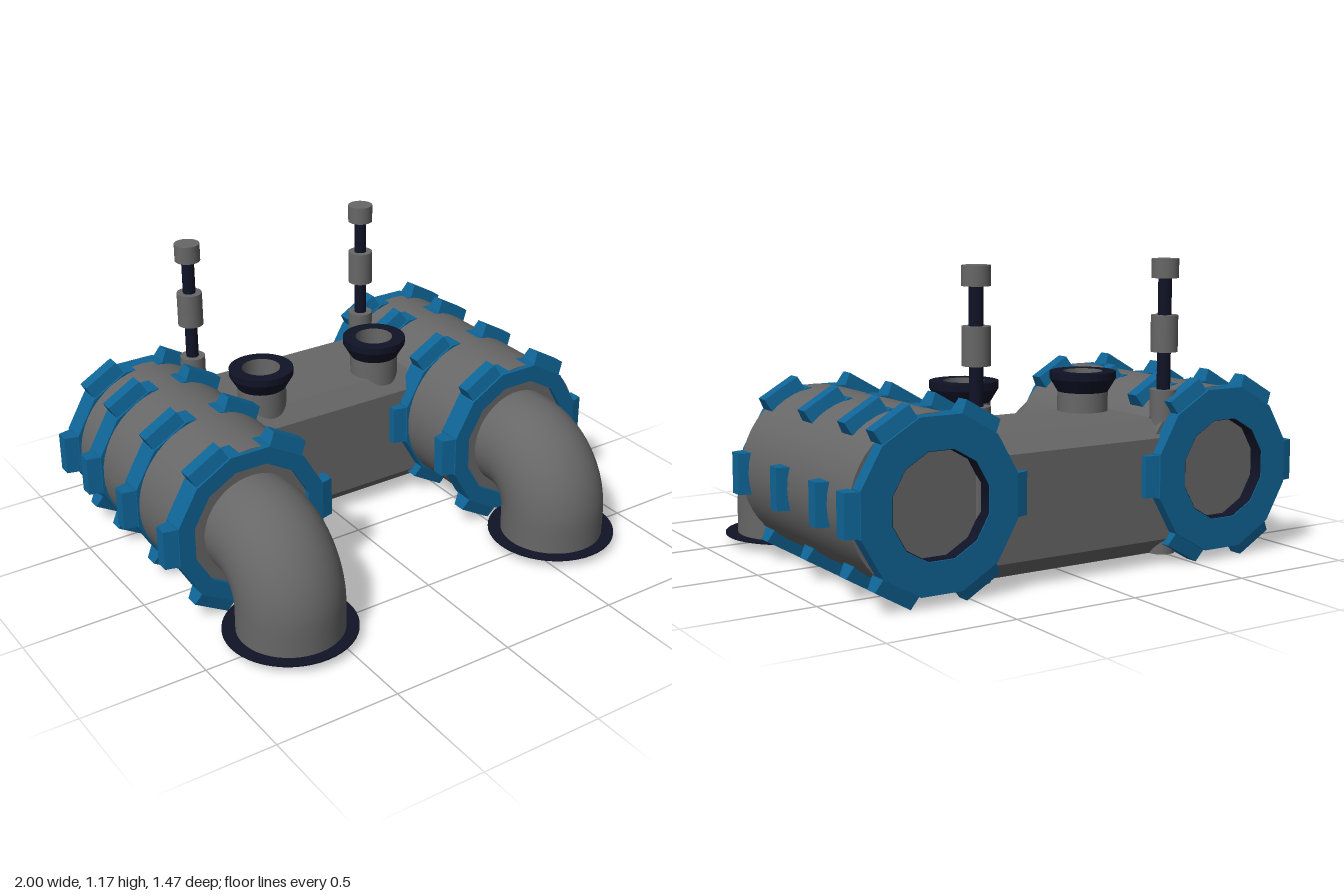
import * as THREE from 'three';

const mat = (color, flatShading = false) =>
  new THREE.MeshStandardMaterial({ color, flatShading, side: THREE.DoubleSide });
const grey = mat(0x676767), flatGrey = mat(0x676767, true);
const blue = mat(0x0f6496, true);
const dark = mat(0x101326), flatDark = mat(0x101326, true);

const TANK_Y = 0.36, TANK_X = 0.634;
const SHIFT = 0.011; // shell and pipe sit slightly off the band centre

function add(parent, name, geometry, material, x = 0, y = 0, z = 0) {
  const mesh = new THREE.Mesh(geometry, material);
  mesh.name = name;
  mesh.position.set(x, y, z);
  parent.add(mesh);
  return mesh;
}

// Upright cylinder between two heights
function post(parent, name, r, y0, y1, material, segments = 24) {
  return add(parent, name, new THREE.CylinderGeometry(r, r, y1 - y0, segments), material, 0, (y0 + y1) / 2, 0);
}

const lathe = (profile, segments) =>
  new THREE.LatheGeometry(profile.map(([x, y]) => new THREE.Vector2(x, y)), segments);

function polygon(Type, r, n, offset = 0) {
  const points = [];
  for (let i = 0; i < n; i++) {
    const a = offset + (i / n) * Math.PI * 2;
    points.push(new THREE.Vector2(r * Math.cos(a), r * Math.sin(a)));
  }
  return new Type(points);
}

// Twelve-sided band around the tank, centred on z = 0
function bandGeometry(hole, width) {
  const shape = polygon(THREE.Shape, 0.324, 12, Math.PI / 12);
  shape.holes.push(polygon(THREE.Path, hole, 12, Math.PI / 12));
  return new THREE.ExtrudeGeometry(shape, { depth: width, bevelEnabled: false }).translate(0, 0, -width / 2);
}

// Block pointing along +x whose outer face is narrower along z
function lugGeometry() {
  const geo = new THREE.BoxGeometry(0.086, 0.16, 0.096).translate(0.323, 0, 0);
  const p = geo.attributes.position;
  for (let i = 0; i < p.count; i++) if (p.getX(i) > 0.33) p.setZ(i, p.getZ(i) * 0.56);
  geo.computeVertexNormals();
  return geo;
}

function createTank() {
  const tank = new THREE.Group();
  tank.name = 'tank';
  const shell = new THREE.CylinderGeometry(0.317, 0.317, 0.89, 48).rotateX(Math.PI / 2);
  add(tank, 'tankShell', shell, grey, SHIFT, TANK_Y, -0.23);

  // Bands with six lugs each
  const lug = lugGeometry();
  for (const [z, hole] of [[0.187, 0.255], [-0.157, 0.29], [-0.475, 0.29], [-0.687, 0.2]]) {
    const band = new THREE.Group();
    band.name = 'lugBand';
    band.position.set(0, TANK_Y, z);
    add(band, 'band', bandGeometry(hole, 0.096), blue);
    for (let i = 0; i < 6; i++) add(band, 'lug', lug, blue).rotation.z = (i * Math.PI) / 3;
    tank.add(band);
  }
  // Dark lining of the rear opening
  const lining = new THREE.CylinderGeometry(0.198, 0.198, 0.058, 12, 1, true, Math.PI / 12).rotateX(Math.PI / 2);
  add(tank, 'rearLining', lining, dark, 0, TANK_Y, -0.705);

  // Elbow pipe bending tightly down to the floor
  const path = [new THREE.Vector3(0, 0.355, 0.17)];
  for (let i = 0; i <= 12; i++) {
    const a = (i / 12) * Math.PI / 2;
    path.push(new THREE.Vector3(0, 0.143 + 0.212 * Math.cos(a), 0.265 + 0.212 * Math.sin(a)));
  }
  path.push(new THREE.Vector3(0, 0.041, 0.477));
  const curve = new THREE.CatmullRomCurve3(path);
  add(tank, 'elbowPipe', new THREE.TubeGeometry(curve, 48, 0.209, 48), grey, SHIFT);
  add(tank, 'elbowBore', new THREE.TubeGeometry(curve, 48, 0.155, 32), grey, SHIFT);

  // Thin flange at the mouth of the pipe
  const flange = lathe([[0.155, 0.038], [0.26, 0.038], [0.26, 0.043], [0.155, 0.043], [0.155, 0.038]], 48);
  add(tank, 'pipeFlange', flange, flatDark, SHIFT, 0, 0.475);
  return tank;
}

// Central block: chamfered section in z and y, swept across x
function createBody() {
  const z0 = -0.689, z1 = -0.162, y0 = 0.04, y1 = 0.563, c = 0.064;
  const shape = new THREE.Shape([
    [z0 + c, y0], [z1 - c, y0], [z1, y0 + c], [z1, y1 - c],
    [z1 - c, y1], [z0 + c, y1], [z0, y1 - c], [z0, y0 + c],
  ].map(([z, y]) => new THREE.Vector2(-z, y)));
  const geo = new THREE.ExtrudeGeometry(shape, { depth: 0.85, bevelEnabled: false });
  return geo.translate(0, 0, -0.425).rotateY(Math.PI / 2);
}

function createFiller() {
  const filler = new THREE.Group();
  filler.name = 'filler';
  post(filler, 'fillerNeck', 0.1, 0.53, 0.645, grey, 32);
  // Flared collar around a grey bore
  const collar = lathe([[0.1, 0.64], [0.131, 0.692], [0.131, 0.72], [0.078, 0.72]], 32);
  add(filler, 'fillerCollar', collar, flatDark);
  add(filler, 'fillerBore', new THREE.CylinderGeometry(0.078, 0.078, 0.08, 32, 1, true), grey, 0, 0.68, 0);
  return filler;
}

function createMast() {
  const mast = new THREE.Group();
  mast.name = 'mast';
  post(mast, 'mastBase', 0.052, 0.04, 0.676, grey);
  post(mast, 'mastRod', 0.026, 0.66, 1.12, dark);
  post(mast, 'mastSleeve', 0.052, 0.82, 0.96, grey);
  post(mast, 'mastCap', 0.052, 1.1, 1.173, grey);
  return mast;
}

export function createModel() {
  const model = new THREE.Group();
  model.name = 'twinTankUnit';
  add(model, 'body', createBody(), flatGrey);
  const place = (part, x, z) => {
    part.position.set(x, 0, z);
    model.add(part);
  };
  for (const x of [-TANK_X, TANK_X]) place(createTank(), x, 0);
  for (const x of [-0.279, 0.273]) place(createFiller(), x, -0.292);
  for (const x of [-0.412, 0.431]) place(createMast(), x, -0.632);
  return model;
}
